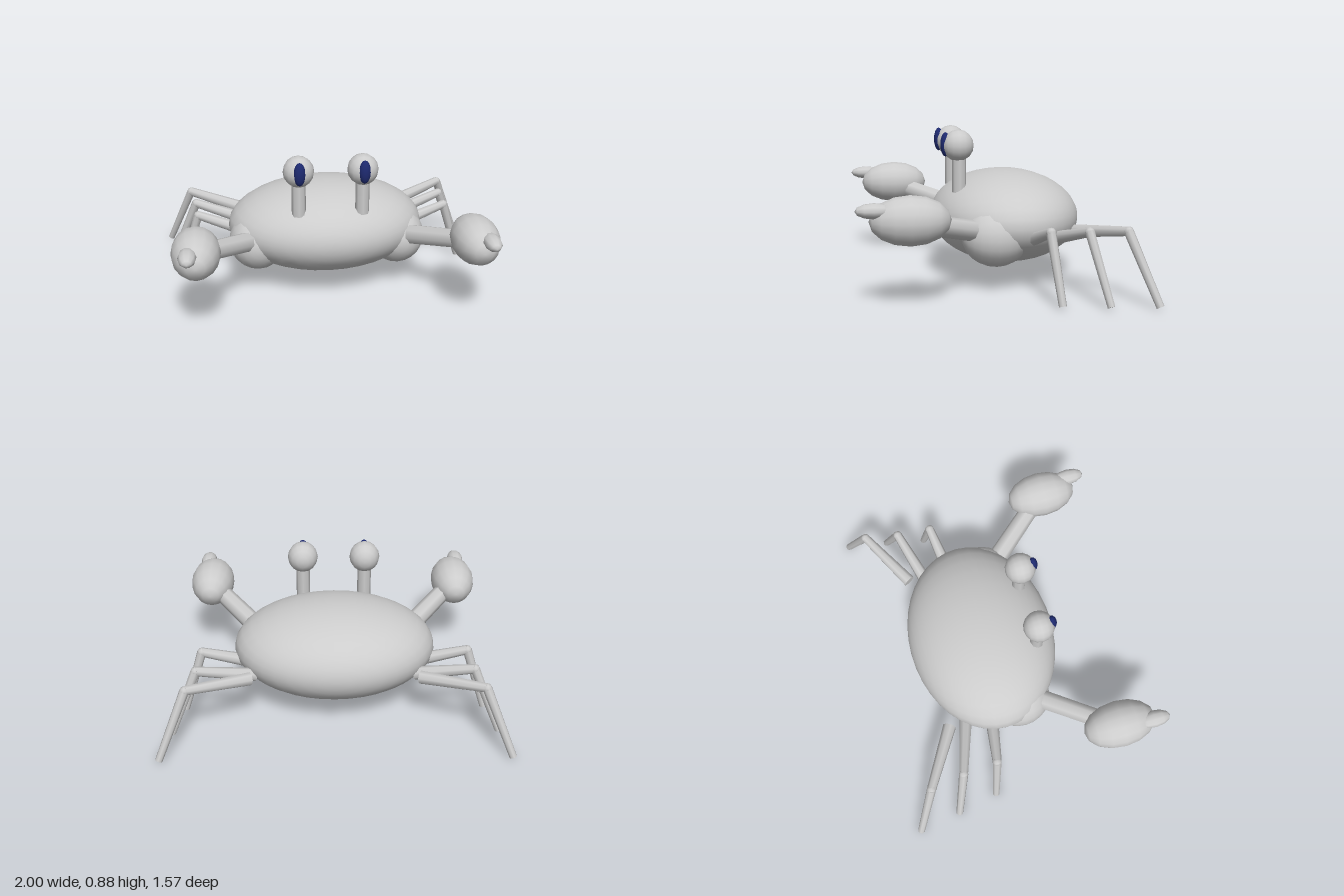
import * as THREE from 'three';

const shell = new THREE.MeshStandardMaterial({ color: 0xcccccc });
shell.name = 'shellGrey';
const navy = new THREE.MeshStandardMaterial({ color: 0x1e2a70 });
navy.name = 'pupilNavy';

// Ellipsoid whose poles lie on the z axis
function ellipsoid(name, pos, radii, mat = shell, w = 16, h = 8) {
  const geo = new THREE.SphereGeometry(1, w, h).rotateX(Math.PI / 2);
  const mesh = new THREE.Mesh(geo, mat);
  mesh.name = name;
  mesh.position.set(...pos);
  mesh.scale.set(...radii);
  return mesh;
}

// Tapered limb between two points
function limb(name, from, to, r0, r1, sides = 8) {
  const a = new THREE.Vector3(...from), b = new THREE.Vector3(...to);
  const dir = b.clone().sub(a);
  const mesh = new THREE.Mesh(new THREE.CylinderGeometry(r1, r0, dir.length(), sides), shell);
  mesh.name = name;
  mesh.position.copy(a).add(b).multiplyScalar(0.5);
  mesh.quaternion.setFromUnitVectors(new THREE.Vector3(0, 1, 0), dir.normalize());
  return mesh;
}

// Hip, knee and foot of each left leg, front to back
const LEGS = [
  [[0.50, 0.29, -0.19], [0.775, 0.38, -0.235], [0.89, 0.01, -0.275]],
  [[0.46, 0.29, -0.34], [0.79, 0.38, -0.44], [0.94, 0.01, -0.52]],
  [[0.485, 0.33, -0.445], [0.825, 0.385, -0.64], [0.98, 0.01, -0.77]],
];

export function createModel() {
  const crab = new THREE.Group();
  crab.name = 'crab';

  crab.add(ellipsoid('body', [0, 0.36, -0.115], [0.59, 0.272, 0.437], shell, 32, 20));

  for (const s of [1, -1]) {
    const side = s > 0 ? 'left' : 'right';
    const m = ([x, y, z]) => [x * s, y, z];

    // Shoulder bulge, arm and claw
    crab.add(ellipsoid(side + 'Shoulder', m([0.42, 0.3, 0]), [0.172, 0.172, 0.19], shell, 20, 12));
    crab.add(limb(side + 'Arm', m([0.45, 0.335, 0.09]), m([0.72, 0.43, 0.42]), 0.06, 0.055));
    const claw = new THREE.Group();
    claw.name = side + 'Claw';
    claw.add(
      ellipsoid('clawPalm', m([0.775, 0.463, 0.5]), [0.136, 0.133, 0.212]),
      ellipsoid('clawTip', m([0.815, 0.524, 0.685]), [0.05, 0.041, 0.097], shell, 10, 6));
    crab.add(claw);

    // Eye on its stalk
    const eye = new THREE.Group();
    eye.name = side + 'Eye';
    eye.add(
      limb('eyeStalk', m([0.185, 0.52, 0.175]), m([0.185, 0.74, 0.175]), 0.041, 0.041),
      ellipsoid('eyeball', m([0.185, 0.79, 0.18]), [0.09, 0.092, 0.09]),
      ellipsoid('pupil', m([0.185, 0.797, 0.253]), [0.034, 0.07, 0.029], navy));
    crab.add(eye);

    // Walking legs
    LEGS.forEach(([hip, knee, foot], i) => {
      const leg = new THREE.Group();
      leg.name = side + 'Leg' + (i + 1);
      leg.add(
        limb('upperLeg', m(hip), m(knee), 0.039, 0.027),
        ellipsoid('knee', m(knee), [0.027, 0.027, 0.027], shell, 8, 6),
        limb('lowerLeg', m(knee), m(foot), 0.027, 0.021));
      crab.add(leg);
    });
  }
  return crab;
}
